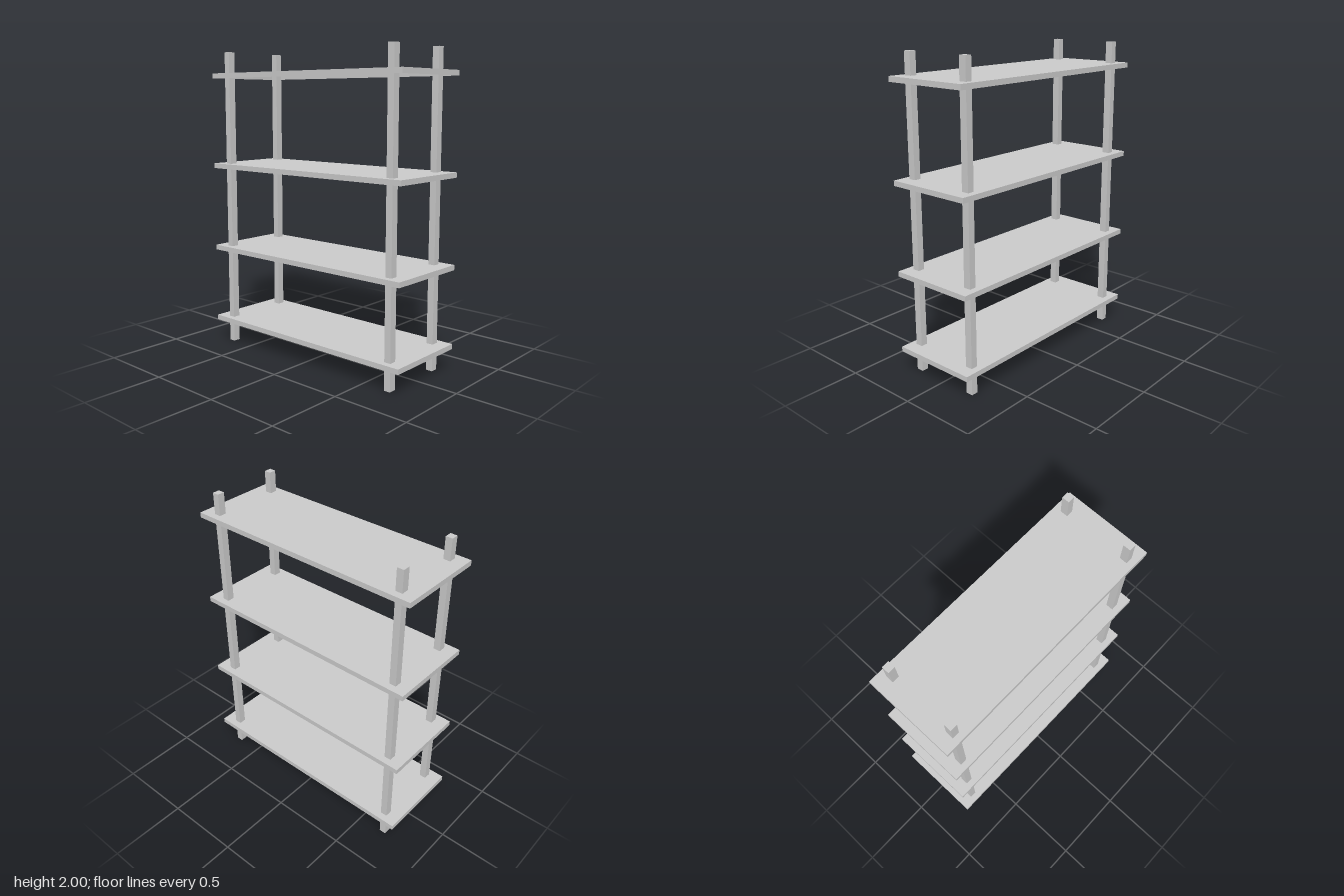
import * as THREE from 'three';

export function createModel() {
  const group = new THREE.Group();
  const material = new THREE.MeshStandardMaterial({ color: 0xcccccc, side: THREE.DoubleSide });

  // Thin-walled box with no underside: the fourth face of the box (-y) is left out
  const addOpenBox = (name, size, position) => {
    const geometry = new THREE.BoxGeometry(...size);
    const index = Array.from(geometry.index.array);
    index.splice(18, 6);
    geometry.setIndex(index);
    geometry.clearGroups();
    const mesh = new THREE.Mesh(geometry, material);
    mesh.name = name;
    mesh.position.set(...position);
    group.add(mesh);
  };

  // Four square hollow posts, full height
  for (const [side, x] of [['Left', 0.218], ['Right', -0.222]]) {
    for (const [end, z] of [['front', 0.681], ['back', -0.684]]) {
      addOpenBox(`${end}${side}Post`, [0.048, 2, 0.044], [x, 1, z]);
    }
  }

  // Four shelves, hollow underneath, overhanging the posts
  [0.158, 0.665, 1.237, 1.845].forEach((y, i) => {
    addOpenBox(`shelf${i + 1}`, [0.574, 0.033, 1.576], [0, y, 0]);
  });

  return group;
}
